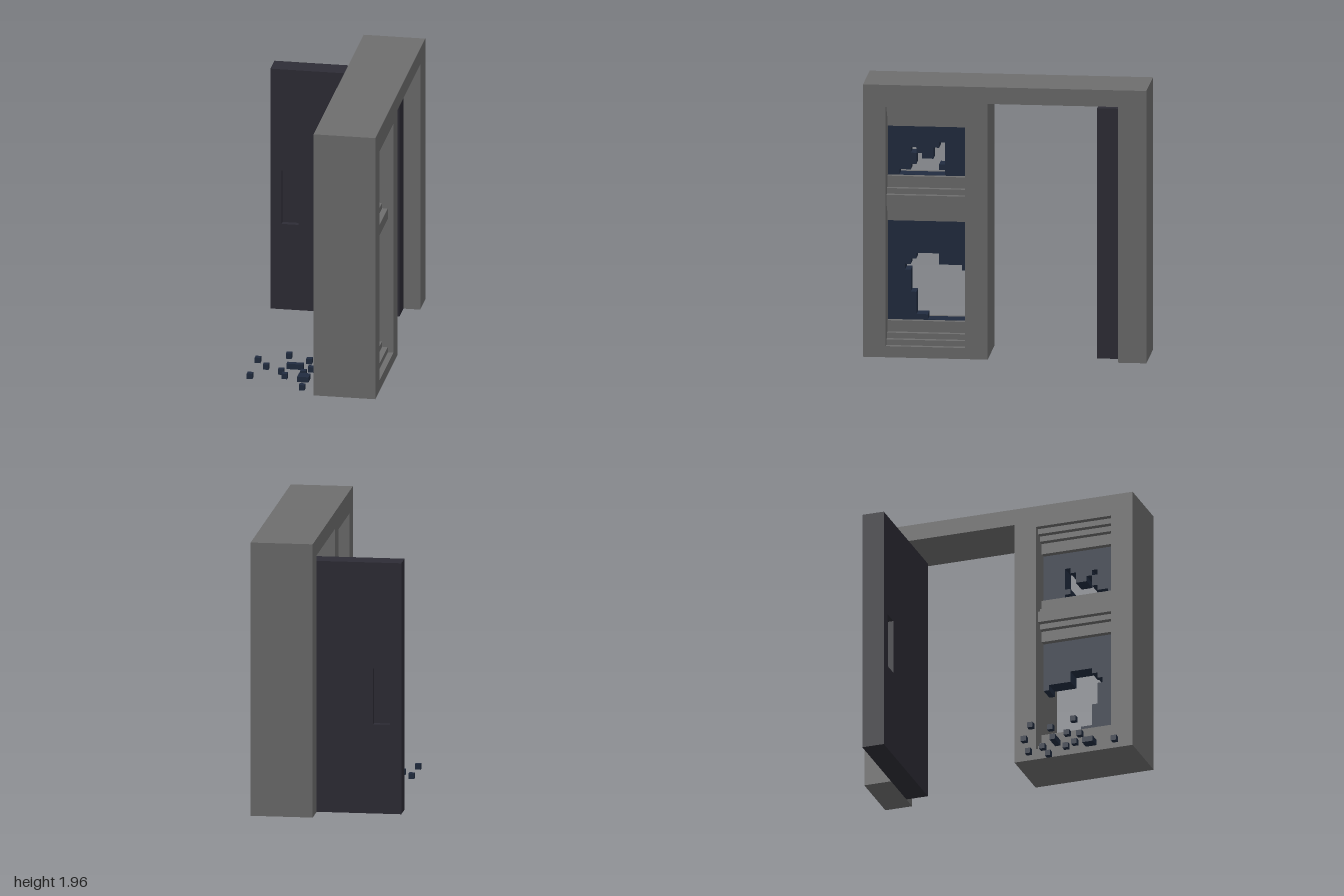
import * as THREE from 'three';
import { mergeGeometries } from 'three/addons/utils/BufferGeometryUtils.js';

// Box from its minimum and maximum corners
function box(x0, x1, y0, y1, z0, z1) {
  return new THREE.BoxGeometry(x1 - x0, y1 - y0, z1 - z0)
    .translate((x0 + x1) / 2, (y0 + y1) / 2, (z0 + z1) / 2);
}

const points = (list) => list.map(([u, v]) => new THREE.Vector2(u, v));
const rect = (u0, u1, v0, v1) => points([[u0, v0], [u1, v0], [u1, v1], [u0, v1]]);

function panel(outline, hole, depth) {
  const shape = new THREE.Shape(outline);
  shape.holes.push(new THREE.Path(hole));
  return new THREE.ExtrudeGeometry(shape, { depth, bevelEnabled: false });
}

// Broken pane: each column is [z0, z1, hole bottom, hole top, ...more holes]
function brokenPane(y0, y1, columns) {
  const parts = [];
  for (const [z0, z1, ...holes] of columns) {
    const edges = [y0, ...holes, y1];
    for (let i = 0; i < edges.length; i += 2) {
      if (edges[i + 1] - edges[i] > 0.001) parts.push(box(0.24, 0.36, edges[i], edges[i + 1], z0, z1));
    }
  }
  return mergeGeometries(parts);
}

export function createModel() {
  const group = new THREE.Group();
  const material = (name, color) => {
    const m = new THREE.MeshStandardMaterial({ color });
    m.name = name;
    return m;
  };
  const stone = material('grey stone', 0x6e6e6e);
  const dark = material('dark door', 0x2e2d36);
  const glass = material('navy glass', 0x212c40);

  const add = (name, geometry, mat) => {
    const mesh = new THREE.Mesh(geometry, mat);
    mesh.name = name;
    group.add(mesh);
  };

  // Wall frame with a doorway and a tall window opening
  const outline = points([[-1, 0], [-0.8, 0], [-0.8, 1.84], [0.12, 1.84], [0.12, 0], [1, 0], [1, 1.96], [-1, 1.96]]);
  const frame = panel(outline, rect(0.28, 0.84, 0.08, 1.8), 0.44);
  add('wallFrame', frame.rotateY(-Math.PI / 2).translate(0.52, 0, 0), stone);

  // Stepped window bars: the sill and lintel are halves of the middle bar
  const tiers = [[0.04, 0.18], [0.08, 0.14], [0.16, 0.10]];
  const bars = [['windowSill', 0.08, 0, 1], ['windowMiddleBar', 1.12, -1, 1], ['windowLintel', 1.8, -1, 0]];
  for (const [name, y, down, up] of bars) {
    const steps = tiers.map(([h, w]) => box(0.3 - w, 0.3 + w, y + down * h, y + up * h, 0.28, 0.84));
    add(name, mergeGeometries(steps), stone);
  }

  // Shattered panes
  add('lowerPane', brokenPane(0.24, 0.96, [
    [0.28, 0.32, 0.24, 0.60], [0.32, 0.48, 0.24, 0.64], [0.48, 0.56, 0.24, 0.72],
    [0.56, 0.64, 0.28, 0.72], [0.64, 0.68, 0.44, 0.68], [0.68, 0.72, 0.60, 0.64], [0.72, 0.84],
  ]), glass);
  add('upperPane', brokenPane(1.28, 1.64, [
    [0.28, 0.44], [0.44, 0.48, 1.28, 1.32, 1.36, 1.52], [0.48, 0.52, 1.28, 1.48],
    [0.52, 0.60, 1.28, 1.40], [0.60, 0.64, 1.28, 1.44], [0.64, 0.68, 1.28, 1.36, 1.44, 1.48],
    [0.68, 0.76, 1.28, 1.32], [0.76, 0.84],
  ]), glass);

  // Glass left in the grooves below the holes
  add('lowerGlassGroove', box(0.24, 0.36, 0.238, 0.242, 0.28, 0.56), glass);
  add('upperGlassGroove', box(0.24, 0.36, 1.278, 1.282, 0.44, 0.76), glass);

  // Open door with a recessed grip on both faces
  const door = panel(rect(-0.52, 0.4, 0, 1.8), rect(-0.44, -0.32, 0.64, 1.04), 0.16);
  add('door', door.translate(0, 0, -0.8), dark);
  add('doorGripRecess', box(-0.44, -0.32, 0.64, 1.04, -0.76, -0.68), dark);

  // Glass shards on the floor: x, z, width, depth
  const shards = [
    [-0.02, 0.26], [-0.22, 0.30], [-0.06, 0.38], [0.06, 0.38], [-0.42, 0.42],
    [-0.14, 0.50, 0.12], [-0.34, 0.54], [-0.02, 0.54], [-0.22, 0.62], [-0.06, 0.62],
    [-0.18, 0.70], [-0.04, 0.72, 0.08, 0.08], [-0.42, 0.74], [-0.02, 0.90],
  ];
  for (const [x, z, w = 0.04, d = 0.04] of shards) {
    add('glassShard', new THREE.BoxGeometry(w, 0.04, d).translate(x, 0.02, z), glass);
  }

  return group;
}
